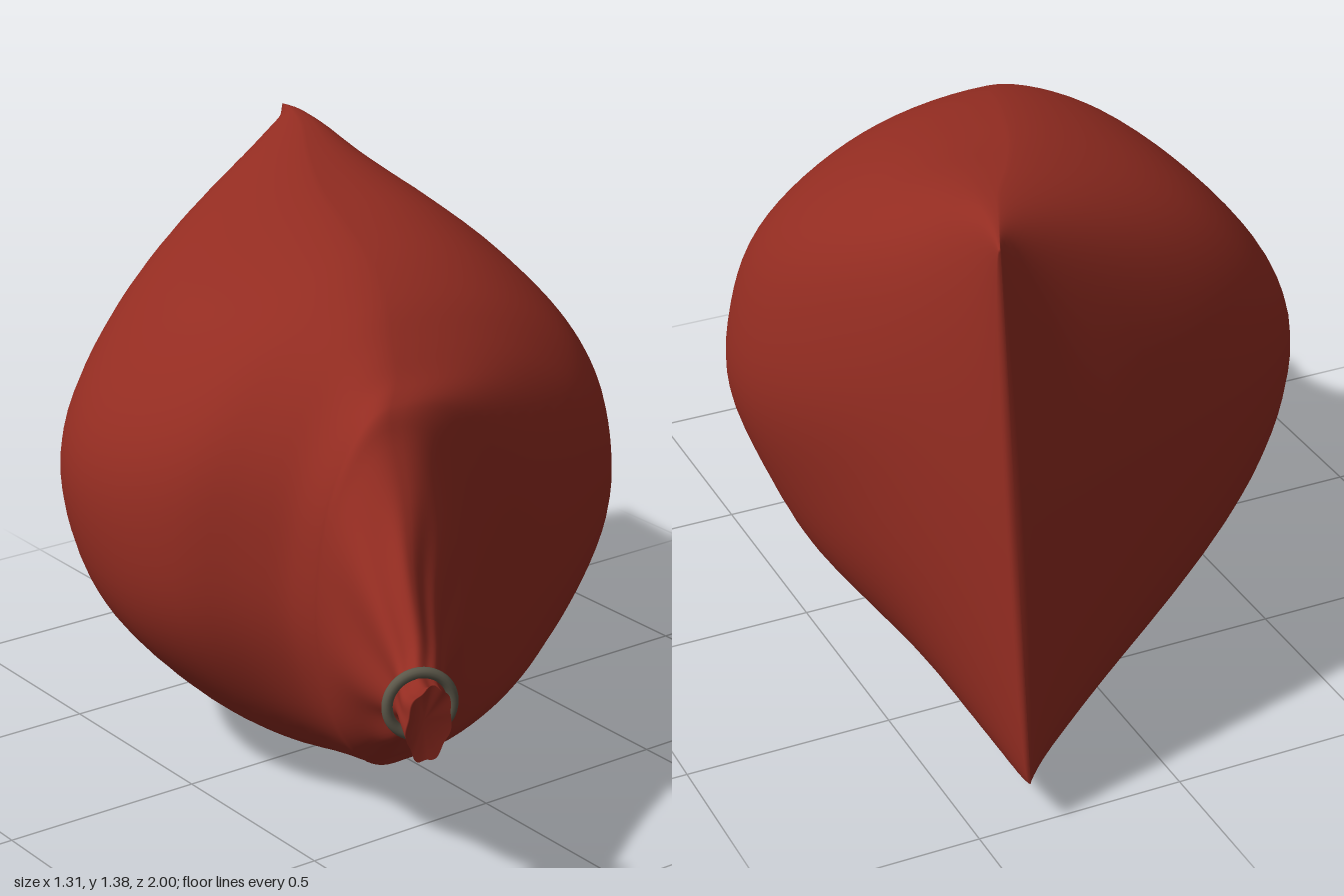
import * as THREE from 'three';

// Cross-sections from the rear seam to the tied mouth:
// z, left x, right x, spine x, bottom y, top y, tilt of the section in z
const SECTIONS = [
  [-0.92, 0.358, 0.39, 0.375, 0.11, 1.36, 0.08],
  [-0.86, 0.19, 0.405, 0.35, 0.075, 1.37, 0.08],
  [-0.78, -0.06, 0.43, 0.32, 0.055, 1.378, 0.07],
  [-0.65, -0.34, 0.475, 0.27, 0.045, 1.372, 0.05],
  [-0.48, -0.54, 0.54, 0.18, 0.035, 1.345, 0.03],
  [-0.28, -0.64, 0.605, 0.09, 0.015, 1.31, 0.01],
  [-0.08, -0.655, 0.645, 0.02, 0.0, 1.285, 0],
  [0.10, -0.61, 0.635, -0.04, 0.025, 1.25, 0],
  [0.24, -0.52, 0.58, -0.10, 0.065, 1.195, 0],
  [0.34, -0.465, 0.49, -0.16, 0.10, 1.13, 0],
  [0.41, -0.465, 0.36, -0.20, 0.13, 1.08, 0],
  [0.46, -0.47, 0.20, -0.25, 0.16, 1.05, 0],
  [0.49, -0.48, 0.03, -0.28, 0.19, 1.025, 0],
  [0.53, -0.485, -0.085, -0.30, 0.22, 0.97, 0],
  [0.62, -0.495, -0.18, -0.34, 0.29, 0.87, 0],
  [0.72, -0.505, -0.295, -0.40, 0.36, 0.76, 0],
  [0.82, -0.52, -0.385, -0.45, 0.43, 0.65, 0],
  [0.88, -0.545, -0.445, -0.495, 0.475, 0.60, 0],
  [0.93, -0.567, -0.467, -0.517, 0.47, 0.59, 0],
  [0.975, -0.585, -0.495, -0.54, 0.435, 0.62, 0.015],
];
const SIDES = 96;
const STEPS = 4;
const smooth = THREE.MathUtils.smoothstep;

// Smooth interpolation of every column between neighbouring sections
function sectionAt(t) {
  const last = SECTIONS.length - 1;
  const i = Math.min(Math.floor(t), last - 1);
  const f = t - i;
  const row = (n) => SECTIONS[Math.min(Math.max(n, 0), last)];
  return SECTIONS[0].map((_, c) => {
    const p0 = row(i - 1)[c], p1 = row(i)[c], p2 = row(i + 1)[c], p3 = row(i + 2)[c];
    const m1 = (p2 - p0) / 2, m2 = (p3 - p1) / 2;
    const f2 = f * f, f3 = f2 * f;
    return p1 * (2 * f3 - 3 * f2 + 1) + m1 * (f3 - 2 * f2 + f) + p2 * (3 * f2 - 2 * f3) + m2 * (f3 - f2);
  });
}

function sackGeometry() {
  const positions = [], index = [];
  const rings = (SECTIONS.length - 1) * STEPS + 1;
  for (let i = 0; i < rings; i++) {
    const [z, xl, xr, spine, yb, yt, tilt] = sectionAt(i / STEPS);
    const cy = (yb + yt) / 2, h = (yt - yb) / 2;
    const gather = smooth(z, 0.45, 0.75);
    const tail = smooth(z, 0.78, 0.95);
    const neck = smooth(z, 0.36, 0.5) * (1 - smooth(z, 0.6, 0.85));
    const belly = 1 - smooth(Math.abs(z), 0.3, 0.8);
    // the rear is flatter on the left flank and fuller on the right
    const leftPower = 1 + 0.45 * (1 - smooth(z, -0.5, 0.5));
    const rightPower = 1 - 0.3 * (1 - smooth(z, -0.35, 0.2)) - 0.25 * neck;
    // the right flank bulges high on the belly and low on the neck
    const lean = THREE.MathUtils.lerp(0.09 * belly, -0.1, neck);
    for (let j = 0; j < SIDES; j++) {
      const a = (j / SIDES) * Math.PI * 2;
      const c = Math.cos(a), s = Math.sin(a);
      // gathered pleats at the neck, faint creases on the belly
      const fold = 1 + gather * 0.05 * Math.cos(7 * a + 1.2) + belly * 0.006 * Math.cos(9 * a + z * 4);
      const reach = c > 0
        ? (xr - spine) * (1 + lean * s) * Math.pow(c, rightPower)
        : (xl - spine) * Math.pow(-c, leftPower);
      const dx = reach * fold;
      positions.push(spine + dx, cy + h * s * (1 + (fold - 1) * gather), z + tilt * s + 0.4 * tail * dx);
    }
  }
  for (let i = 0; i < rings - 1; i++) {
    for (let j = 0; j < SIDES; j++) {
      const k = (j + 1) % SIDES;
      const a = i * SIDES + j, b = i * SIDES + k;
      index.push(a, b, a + SIDES, b, b + SIDES, a + SIDES);
    }
  }
  // close the rear seam and the slightly sunken mouth
  const rear = positions.length / 3;
  positions.push(0.375, 0.735, -0.922, -0.54, 0.53, 0.955);
  const end = (rings - 1) * SIDES;
  for (let j = 0; j < SIDES; j++) {
    const k = (j + 1) % SIDES;
    index.push(rear, k, j, rear + 1, end + j, end + k);
  }
  const geometry = new THREE.BufferGeometry();
  geometry.setAttribute('position', new THREE.Float32BufferAttribute(positions, 3));
  geometry.setIndex(index);
  geometry.computeVertexNormals();
  return geometry;
}

export function createModel() {
  const group = new THREE.Group();
  group.name = 'tiedSack';

  const cloth = new THREE.MeshStandardMaterial({ color: 0x932c21 });
  cloth.name = 'red cloth';
  const metal = new THREE.MeshStandardMaterial({ color: 0x5c584a });
  metal.name = 'grey cord';

  const sack = new THREE.Mesh(sackGeometry(), cloth);
  sack.name = 'sack';
  group.add(sack);

  // ring that ties the neck
  const ring = new THREE.Mesh(new THREE.TorusGeometry(0.073, 0.0125, 12, 48), metal);
  ring.name = 'neckRing';
  ring.position.set(-0.498, 0.533, 0.888);
  ring.rotation.y = -0.4;
  group.add(ring);

  return group;
}
